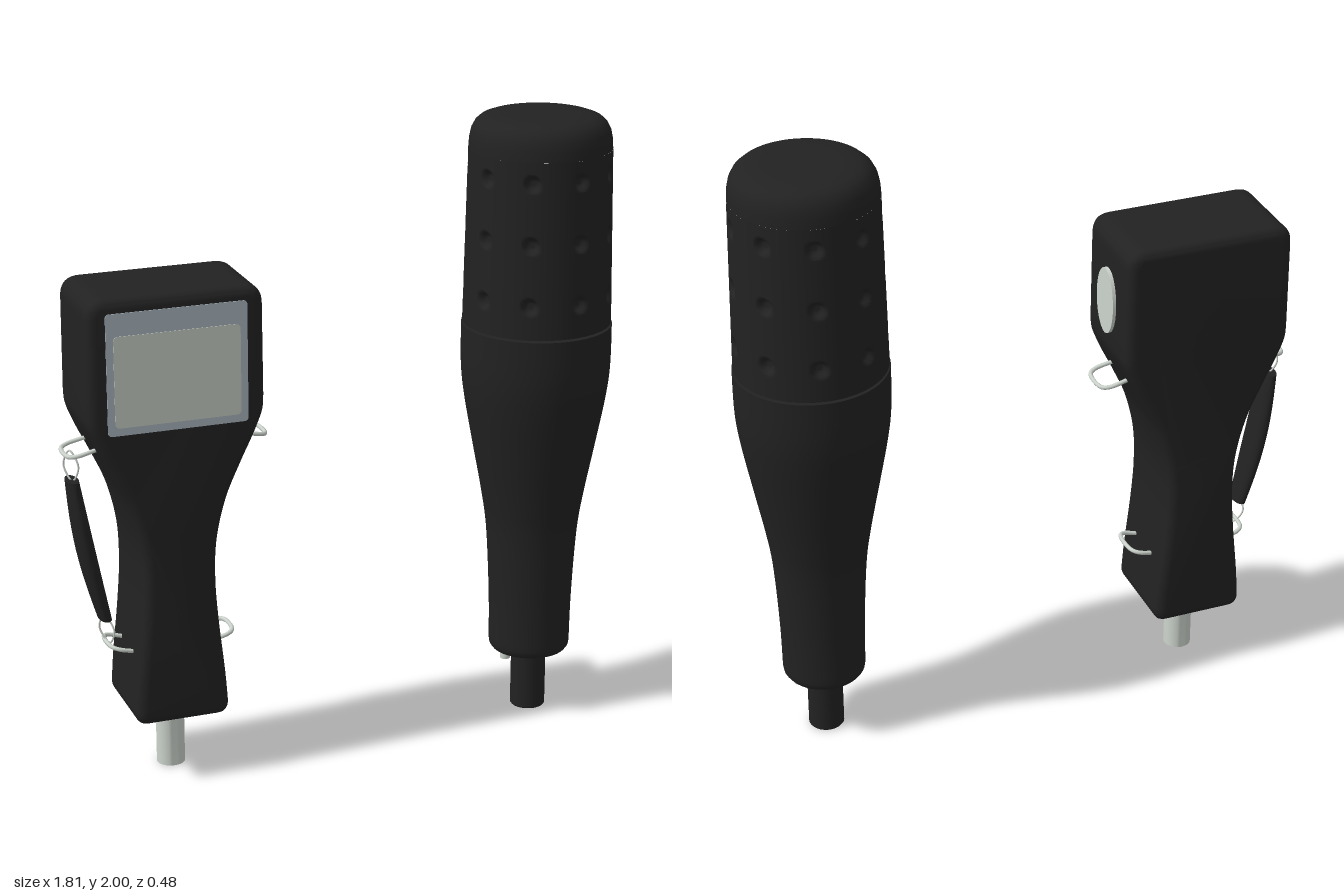
import * as THREE from 'three';
import { toCreasedNormals } from 'three/addons/utils/BufferGeometryUtils.js';

const mat = (name, color) => new THREE.MeshStandardMaterial({ name, color });
const V2 = (x, y) => new THREE.Vector2(x, y);
const V3 = (x, y, z) => new THREE.Vector3(x, y, z);

export function createModel() {
  const black = mat('black rubber', 0x222222);
  const metal = mat('pale metal', 0xccd3cc);
  const frameBlue = mat('screen frame blue', 0xa8b5be);
  const screenGrey = mat('screen grey', 0xc6ccc3);

  const add = (group, name, geometry, material, x = 0, y = 0, z = 0) => {
    const mesh = new THREE.Mesh(geometry, material);
    mesh.name = name;
    mesh.position.set(x, y, z);
    group.add(mesh);
    return mesh;
  };
  const lathe = (pts, sides = 48) =>
    toCreasedNormals(new THREE.LatheGeometry(pts.map(p => V2(...p)), sides), 0.6);
  const tube = (pts, r, closed = false) =>
    new THREE.TubeGeometry(new THREE.CatmullRomCurve3(pts, closed), 40, r, 8, closed);

  const model = new THREE.Group();
  model.name = 'handheldSet';

  // ---- Handheld display unit ----
  const unit = new THREE.Group();
  unit.name = 'displayUnit';
  unit.position.x = -0.583;
  model.add(unit);

  // Waisted body: outline with bevelled front and back edges
  const side = [[0.15, 0.245], [0.142, 0.35], [0.124, 0.52], [0.115, 0.66], [0.121, 0.79],
    [0.152, 0.92], [0.2, 1.03], [0.244, 1.12], [0.272, 1.19], [0.277, 1.24]].map(p => V2(...p));
  const mirrored = side.map(p => V2(-p.x, p.y)).reverse();
  const outline = new THREE.Shape();
  outline.moveTo(-0.11, 0.205);
  outline.lineTo(0.11, 0.205);
  outline.quadraticCurveTo(0.15, 0.205, 0.15, 0.245);
  outline.splineThru(side.slice(1));
  outline.lineTo(0.275, 1.53);
  outline.quadraticCurveTo(0.275, 1.592, 0.213, 1.592);
  outline.lineTo(-0.213, 1.592);
  outline.quadraticCurveTo(-0.275, 1.592, -0.275, 1.53);
  outline.lineTo(-0.277, 1.24);
  outline.splineThru(mirrored.slice(1));
  outline.quadraticCurveTo(-0.15, 0.205, -0.11, 0.205);
  const body = new THREE.ExtrudeGeometry(outline, {
    depth: 0.26, bevelThickness: 0.03, bevelSize: 0.03, bevelOffset: -0.03, bevelSegments: 5, curveSegments: 10,
  });
  add(unit, 'body', toCreasedNormals(body, 0.6), black, 0, 0, -0.13);

  // Screen plates
  const plate = (w, h, r, d) => {
    const s = new THREE.Shape(), x = w / 2, y = h / 2;
    s.absarc(x - r, y - r, r, 0, Math.PI / 2);
    s.absarc(-x + r, y - r, r, Math.PI / 2, Math.PI);
    s.absarc(-x + r, -y + r, r, Math.PI, Math.PI * 1.5);
    s.absarc(x - r, -y + r, r, Math.PI * 1.5, Math.PI * 2);
    return new THREE.ExtrudeGeometry(s, { depth: d, bevelEnabled: false, curveSegments: 6 });
  };
  add(unit, 'screenFrame', plate(0.44, 0.38, 0.012, 0.004), frameBlue, 0, 1.36, 0.159);
  add(unit, 'screen', plate(0.395, 0.285, 0.015, 0.003), screenGrey, 0, 1.337, 0.162);

  // Oval plate on the left side
  const oval = add(unit, 'sideOval', new THREE.CylinderGeometry(1, 1, 0.014, 32), metal, 0.28, 1.362, 0);
  oval.rotation.z = -Math.PI / 2;
  oval.scale.set(0.112, 1, 0.065);

  // Hollow connector stem
  add(unit, 'connectorStem', lathe([[0, 0.06], [0.02, 0.06], [0.02, 0], [0.045, 0], [0.045, 0.18],
    [0.062, 0.19], [0.062, 0.21]], 32), metal);

  // Wire strap rings on both sides
  for (const s of [-1, 1]) {
    for (const [name, x0, y0, x1, y1] of [['upperRing', 0.225, 1.1, 0.312, 1.08], ['lowerRing', 0.12, 0.42, 0.196, 0.44]]) {
      const xm = x0 + (x1 - x0) * 0.75, ym = y0 + (y1 - y0) * 0.75;
      add(unit, name, tube([V3(s * x0, y0, -0.062), V3(s * xm, ym, -0.062), V3(s * x1, y1, -0.045),
        V3(s * x1, y1, 0.045), V3(s * xm, ym, 0.062), V3(s * x0, y0, 0.062)], 0.007), metal);
    }
  }

  // Hand strap: oval bar, thickest at the middle and gently bowed
  const strap = new THREE.CylinderGeometry(1, 1, 1, 24, 14);
  const sp = strap.attributes.position;
  for (let i = 0; i < sp.count; i++) {
    const t = sp.getY(i) + 0.5, bulge = Math.sin(Math.PI * t);
    sp.setXYZ(i, -0.204 - 0.09 * t - 0.009 * bulge + sp.getX(i) * (0.02 + 0.008 * bulge),
      0.522 + 0.468 * t, sp.getZ(i) * (0.042 + 0.014 * bulge));
  }
  strap.computeVertexNormals();
  add(unit, 'handStrap', toCreasedNormals(strap, 0.7), black);

  // Thin wire loops joining strap to rings
  const loop = (xa, ya, xb, yb, w) => {
    const xm = (xa + xb) / 2, ym = (ya + yb) / 2;
    return tube([V3(xa, ya, 0), V3(xm + w, ym, 0.02), V3(xb, yb, 0), V3(xm - w, ym, -0.02)], 0.003, true);
  };
  add(unit, 'upperLoop', loop(-0.298, 1.085, -0.292, 0.985, 0.018), metal);
  add(unit, 'lowerLoop', loop(-0.206, 0.53, -0.19, 0.435, 0.018), metal);

  // ---- Round handle ----
  const handle = new THREE.Group();
  handle.name = 'roundHandle';
  handle.position.x = 0.659;
  model.add(handle);

  // Tapered grip
  const gripCurve = new THREE.SplineCurve([[0.132, 0.235], [0.135, 0.4], [0.147, 0.62], [0.165, 0.75],
    [0.197, 0.92], [0.226, 1.08], [0.238, 1.19], [0.239, 1.328]].map(p => V2(...p)));
  add(handle, 'grip', lathe([[0, 0.205], [0.105, 0.205], [0.122, 0.211], [0.13, 0.222],
    ...gripCurve.getPoints(40).map(p => [p.x, p.y]), [0.215, 1.328], [0.215, 1.34]], 64), black);
  add(handle, 'handleStem', lathe([[0, 0], [0.054, 0], [0.057, 0.004], [0.057, 0.21]], 32), black);
  for (const s of [-1, 1])
    add(handle, 'locatingPin', new THREE.CylinderGeometry(0.017, 0.017, 0.04, 20), metal, s * 0.084, 0.195, 0);

  // Dimpled sleeve: a fine cylinder pushed inward at three rows of nine dimples
  const rows = [];
  for (let i = 0; i <= 84; i++) rows.push(V2(0.236 - 0.011 * i / 84, 1.335 + 0.56 * i / 84));
  const sleeve = new THREE.LatheGeometry(rows, 216, Math.PI);
  const p = sleeve.attributes.position;
  const step = Math.PI * 2 / 9;
  for (let i = 0; i < p.count; i++) {
    const x = p.getX(i), y = p.getY(i), z = p.getZ(i), r = Math.hypot(x, z);
    const a = (Math.atan2(x, z) - Math.PI / 18) / step;
    const du = (a - Math.round(a)) * step * r;
    const dv = Math.min(...[1.44, 1.634, 1.828].map(h => Math.abs(y - h)));
    const d = Math.hypot(du, dv) / 0.027;
    if (d < 1) {
      const k = 1 - 0.018 * Math.min(1, (1 - d) * 2.5) / r;
      p.setXYZ(i, x * k, y, z * k);
    }
  }
  sleeve.computeVertexNormals();
  add(handle, 'dimpledSleeve', sleeve, black);
  add(handle, 'sleeveRim', lathe([[0.21, 1.335], [0.236, 1.335]], 64), black);
  add(handle, 'roundedCap', lathe([[0.225, 1.895], [0.223, 1.925], [0.217, 1.953], [0.206, 1.974],
    [0.19, 1.988], [0.168, 1.996], [0.12, 2], [0, 2]], 64), black);

  return model;
}
